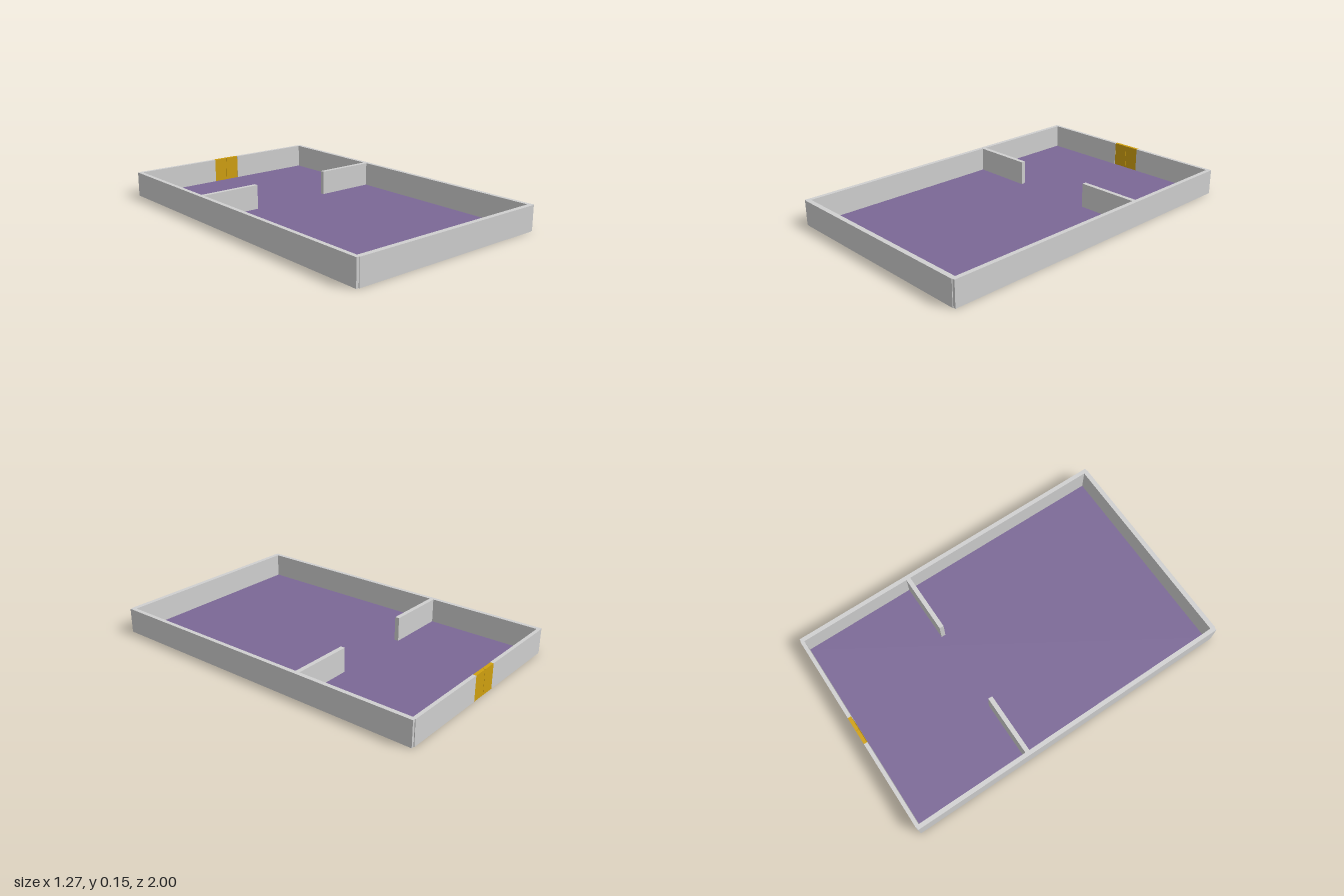
import * as THREE from 'three';

export function createModel() {
  const group = new THREE.Group();
  const wallPaint = new THREE.MeshStandardMaterial({ color: 0xd0d0d0 });
  wallPaint.name = 'wallGrey';
  const floorPaint = new THREE.MeshStandardMaterial({ color: 0x7b6896 });
  floorPaint.name = 'floorPurple';
  const doorPaint = new THREE.MeshStandardMaterial({ color: 0xd0a010 });
  doorPaint.name = 'doorGold';

  const H = 0.147; // wall height

  // Box given by its extents along x, y and z
  function slab(name, material, [x0, x1], [y0, y1], [z0, z1]) {
    const mesh = new THREE.Mesh(new THREE.BoxGeometry(x1 - x0, y1 - y0, z1 - z0), material);
    mesh.position.set((x0 + x1) / 2, (y0 + y1) / 2, (z0 + z1) / 2);
    mesh.name = name;
    group.add(mesh);
  }

  // Floor, a thin sheet between the walls
  slab('floor', floorPaint, [-0.612, 0.612], [0.001, 0.004], [-0.98, 0.972]);

  // Front wall, standing slightly proud of the side walls
  slab('frontWall', wallPaint, [-0.622, 0.622], [0, H], [0.972, 1]);

  // Mirrored parts
  for (const [side, s] of [['left', 1], ['right', -1]]) {
    const span = (a, b) => (s > 0 ? [a, b] : [-b, -a]);
    slab(side + 'SideWall', wallPaint, span(0.612, 0.637), [0, H], [-0.996, 0.996]);
    slab(side + 'BackWall', wallPaint, span(0.087, 0.622), [0, H], [-1, -0.979]);
    slab(side + 'Partition', wallPaint, span(0.25, 0.612), [0, H], [-0.303, -0.277]);
    // Door leaf filling half of the opening
    slab(side + 'DoorLeaf', doorPaint, span(0.001, 0.087), [0, H], [-1, -0.981]);
  }
  return group;
}
